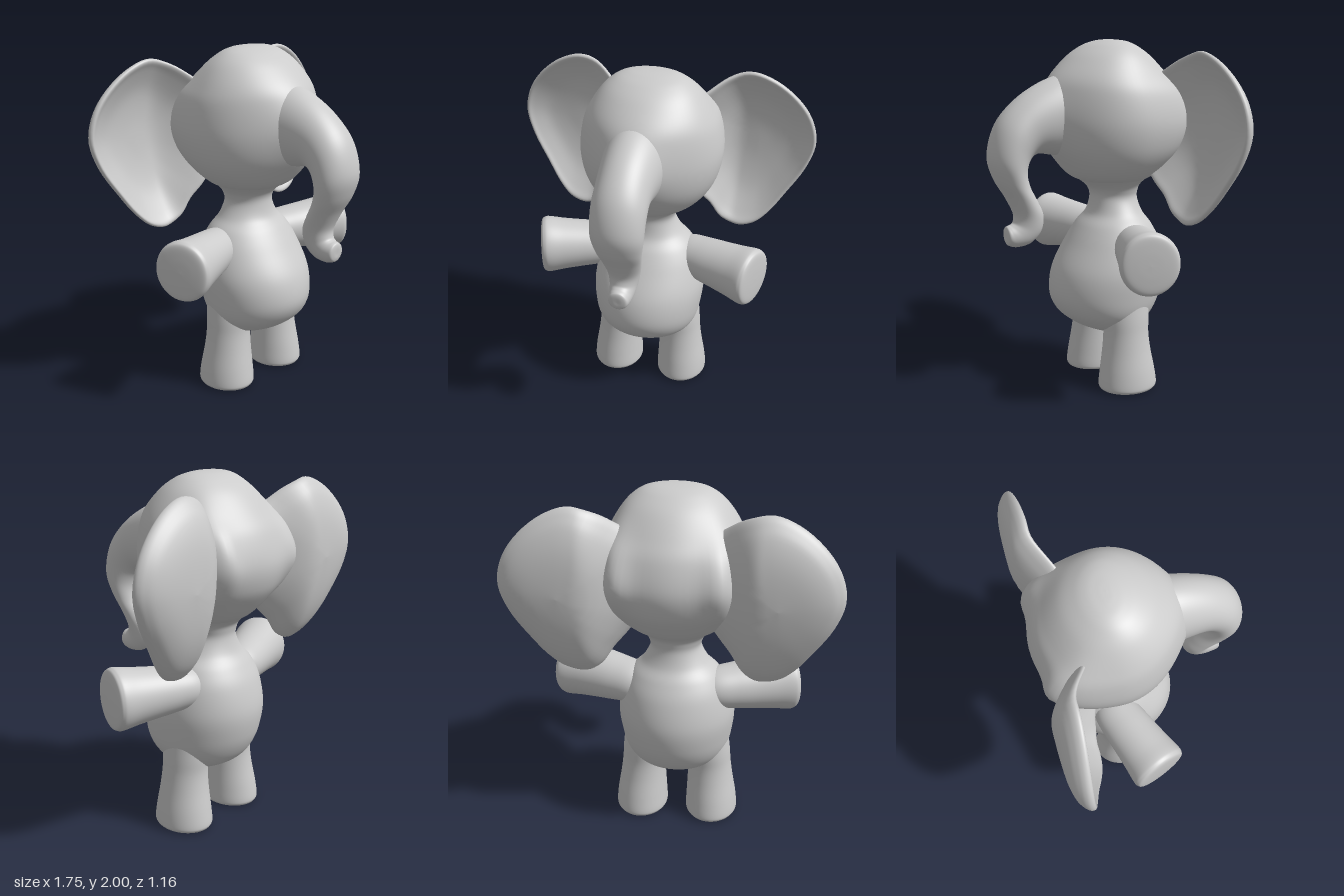
import * as THREE from 'three';

const V = (x, y, z) => new THREE.Vector3(x, y, z);
const bell = (x, centre, width) => Math.exp(-(((x - centre) / width) ** 2));
const material = new THREE.MeshStandardMaterial({ color: 0xcccccc });

// Closed skin over a list of rings with equal point counts
function skin(rings) {
  const n = rings[0].length, pos = [], idx = [];
  rings.forEach(r => r.forEach(p => pos.push(p.x, p.y, p.z)));
  for (let i = 0; i < rings.length - 1; i++) {
    for (let j = 0; j < n; j++) {
      const a = i * n + j, b = i * n + (j + 1) % n;
      idx.push(a, b, a + n, b, b + n, a + n);
    }
  }
  const g = new THREE.BufferGeometry();
  g.setAttribute('position', new THREE.Float32BufferAttribute(pos, 3));
  g.setIndex(idx);
  g.computeVertexNormals();
  return g;
}

// Smooth loft through elliptical sections [centre, half axis u, half axis v]
function loft(sections, steps = 6, sides = 64) {
  const [c, u, v] = [0, 1, 2].map(k =>
    new THREE.CatmullRomCurve3(sections.map(s => s[k]), false, 'catmullrom', 0.5));
  const count = (sections.length - 1) * steps, rings = [];
  for (let i = 0; i <= count; i++) {
    const t = i / count, C = c.getPoint(t), U = u.getPoint(t), W = v.getPoint(t);
    rings.push(Array.from({ length: sides }, (_, j) => {
      const a = j / sides * Math.PI * 2;
      return C.clone().addScaledVector(U, Math.cos(a)).addScaledVector(W, Math.sin(a));
    }));
  }
  return skin(rings);
}

// Upright loft, listed from the top down as [y, half width, z front, z back]
const upright = (rows, x = () => 0) => loft(rows.map(([y, w, f, b]) =>
  [V(x(y), y, (f + b) / 2), V(w, 0, 0), V(0, 0, (f - b) / 2)]));

// Mirrored copy across x = 0 with its faces turned the right way
function mirrored(geometry) {
  const g = geometry.clone().scale(-1, 1, 1), a = g.index.array;
  for (let i = 0; i < a.length; i += 3) [a[i], a[i + 1]] = [a[i + 1], a[i]];
  g.computeVertexNormals();
  return g;
}

function headGeometry() {
  const g = upright([
    [2.0, 0, -0.15, -0.15], [1.998, 0.065, -0.115, -0.19], [1.988, 0.135, -0.065, -0.245],
    [1.96, 0.2, 0.005, -0.305], [1.9, 0.268, 0.09, -0.385], [1.8, 0.335, 0.175, -0.47],
    [1.7, 0.378, 0.205, -0.535], [1.55, 0.4, 0.215, -0.575], [1.42, 0.38, 0.195, -0.55],
    [1.32, 0.33, 0.145, -0.485], [1.24, 0.25, 0.075, -0.41], [1.19, 0.15, -0.03, -0.33],
    [1.14, 0.1, -0.08, -0.29], [1.1, 0, -0.19, -0.19],
  ]);
  // Swell the face into the trunk and the back corners into the ears
  const p = g.attributes.position;
  for (let i = 0; i < p.count; i++) {
    const x = p.getX(i), y = p.getY(i), z = p.getZ(i);
    const face = 0.075 * bell(x, 0, 0.17) * bell(y, 1.58, 0.18) * THREE.MathUtils.smoothstep(z, 0, 0.15);
    const corner = 0.09 * bell(Math.abs(x), 0.3, 0.1) * bell(y, 1.6, 0.24)
      * THREE.MathUtils.smoothstep(-z, 0.18, 0.34);
    p.setZ(i, z + face - corner);
  }
  g.computeVertexNormals();
  return g;
}

function earGeometry() {
  const outline = new THREE.CatmullRomCurve3([
    [0.14, 1.72], [0.27, 1.835], [0.38, 1.91], [0.5, 1.942], [0.63, 1.9], [0.76, 1.8],
    [0.845, 1.68], [0.877, 1.54], [0.835, 1.39], [0.74, 1.23], [0.65, 1.1], [0.57, 1.03],
    [0.47, 1.008], [0.38, 1.05], [0.31, 1.15], [0.24, 1.23], [0.14, 1.38],
  ].map(([x, y]) => V(x, y, 0)), true).getPoints(72).slice(0, -1);
  // Radial profile: dished front, rounded rim, bulging back
  const profile = new THREE.CatmullRomCurve3([
    [0, -0.045], [0.3, -0.045], [0.6, -0.035], [0.85, -0.005], [0.95, 0.012], [0.99, 0.006],
    [1, -0.008], [0.98, -0.025], [0.92, -0.045], [0.78, -0.072], [0.5, -0.092], [0, -0.1],
  ].map(([t, z]) => V(t, z, 0)), false, 'catmullrom', 0.5).getPoints(44);
  const centre = V(0.55, 1.5, 0);
  return skin(profile.map(q => outline.map(o => {
    const p = centre.clone().lerp(o, q.x);
    const nearHead = THREE.MathUtils.smoothstep(0.46 - p.x, 0, 0.3);
    p.z = -0.47 + 0.33 * (p.y - 1.57) ** 2 + q.y + 0.15 * nearHead;
    return p;
  })));
}

function armGeometry() {
  const axis = V(0.94, 0, 0.35), end = V(0.624, 0.857, -0.06);
  // [distance from the end, half height, half depth]
  return loft([
    [-0.56, 0, 0], [-0.52, 0.07, 0.07], [-0.44, 0.112, 0.118], [-0.32, 0.13, 0.134],
    [-0.2, 0.144, 0.143], [-0.1, 0.157, 0.152], [-0.02, 0.171, 0.161], [0.01, 0.168, 0.158],
    [0.028, 0.148, 0.14], [0.035, 0.08, 0.08], [0.037, 0, 0],
  ].map(([d, h, w]) => [end.clone().addScaledVector(axis, d), V(0, h, 0), V(-0.35 * w, 0, 0.94 * w)]));
}

export function createModel() {
  const model = new THREE.Group();
  model.name = 'elephant';
  const add = (name, geometry) => {
    const mesh = new THREE.Mesh(geometry, material);
    mesh.name = name;
    model.add(mesh);
  };
  const addPair = (name, geometry) => {
    add('left' + name, geometry);
    add('right' + name, mirrored(geometry));
  };

  add('head', headGeometry());

  add('body', upright([
    [1.24, 0.235, 0.06, -0.4], [1.19, 0.178, -0.01, -0.345], [1.15, 0.15, -0.042, -0.328],
    [1.1, 0.143, -0.048, -0.325], [1.02, 0.185, -0.03, -0.35], [0.95, 0.25, 0.025, -0.4],
    [0.85, 0.3, 0.09, -0.45], [0.7, 0.33, 0.175, -0.482], [0.56, 0.32, 0.2, -0.465],
    [0.46, 0.297, 0.165, -0.425], [0.39, 0.25, 0.09, -0.37], [0.345, 0.19, 0.01, -0.3],
    [0.315, 0.11, -0.07, -0.22], [0.305, 0, -0.15, -0.15],
  ]));

  // Trunk sections: [outer z, outer y, inner z, inner y, half width]
  add('trunk', loft([
    [-0.1, 1.83, -0.1, 1.4, 0.18], [0.1, 1.82, 0.1, 1.36, 0.18], [0.25, 1.782, 0.21, 1.372, 0.163],
    [0.41, 1.69, 0.3, 1.385, 0.148], [0.53, 1.56, 0.35, 1.355, 0.147],
    [0.58, 1.39, 0.37, 1.285, 0.142], [0.55, 1.26, 0.35, 1.205, 0.125],
    [0.485, 1.15, 0.305, 1.12, 0.107], [0.442, 1.06, 0.27, 1.04, 0.09],
    [0.443, 1.012, 0.282, 0.95, 0.077], [0.46, 0.997, 0.345, 0.885, 0.068],
    [0.478, 0.992, 0.425, 0.868, 0.06], [0.488, 0.985, 0.475, 0.88, 0.052],
    [0.492, 0.965, 0.488, 0.9, 0.03], [0.49, 0.93, 0.49, 0.93, 0],
  ].map(([zo, yo, zi, yi, w]) =>
    [V(0, (yo + yi) / 2, (zo + zi) / 2), V(w, 0, 0), V(0, (yo - yi) / 2, (zo - zi) / 2)])));

  addPair('Ear', earGeometry());
  addPair('Arm', armGeometry());

  // Legs widen and lean outward toward the feet
  addPair('Leg', upright([
    [0.58, 0.115, -0.04, -0.31], [0.44, 0.124, -0.035, -0.308], [0.34, 0.126, -0.037, -0.302],
    [0.24, 0.133, -0.028, -0.312], [0.12, 0.146, -0.01, -0.335], [0.04, 0.152, 0, -0.348],
    [0.014, 0.148, -0.004, -0.344], [0.003, 0.13, -0.022, -0.326], [0.001, 0.07, -0.09, -0.258],
    [0, 0, -0.174, -0.174],
  ], y => 0.21 - 0.06 * Math.max(0, y - 0.08)));

  return model;
}
